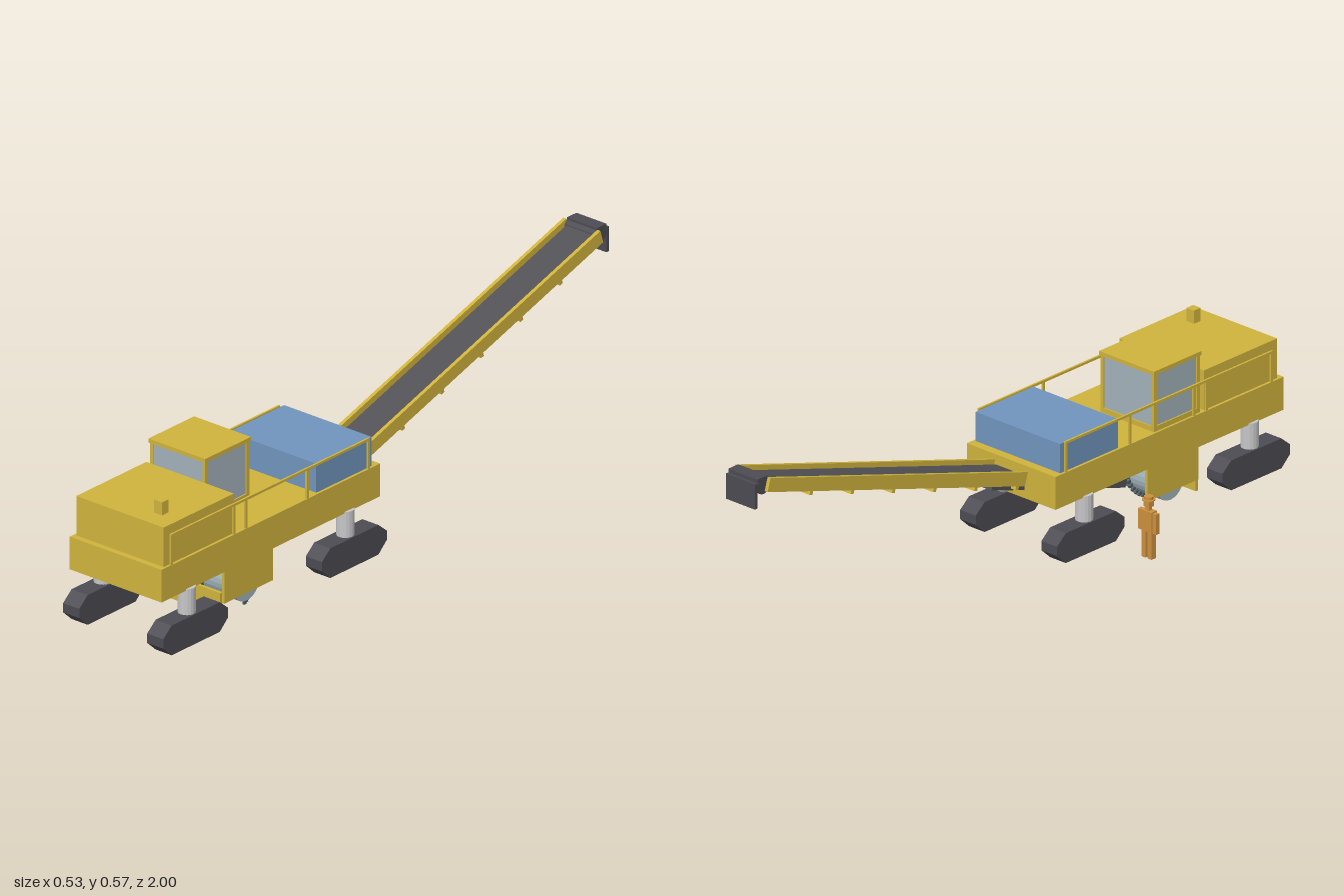
import * as THREE from 'three';

const mat = (name, color) => {
  const m = new THREE.MeshStandardMaterial({ color });
  m.name = name;
  m.flatShading = true;
  return m;
};

export function createModel() {
  const yellow = mat('machine yellow', 0xcfb33c);
  const track = mat('track grey', 0x4c4b52);
  const belt = mat('belt grey', 0x525156);
  const steel = mat('light steel', 0xc6c6c8);
  const glass = mat('glass grey', 0xa2b1b9);
  const drumGrey = mat('drum grey', 0xa0b2ba);
  const tooth = mat('tooth grey', 0x4a585e);
  const blue = mat('tank blue', 0x7094bd);
  const orange = mat('figure orange', 0xcc903f);

  const model = new THREE.Group();
  model.name = 'surfaceMiner';
  const CX = 0.083; // centre line of the machine

  const add = (name, geo, m, parent = model) => {
    const mesh = new THREE.Mesh(geo, m);
    mesh.name = name;
    parent.add(mesh);
    return mesh;
  };
  // box from its minimum and maximum on each axis
  const box = (name, m, x0, x1, y0, y1, z0, z1, parent) => {
    const b = add(name, new THREE.BoxGeometry(x1 - x0, y1 - y0, z1 - z0), m, parent);
    b.position.set((x0 + x1) / 2, (y0 + y1) / 2, (z0 + z1) / 2);
    return b;
  };
  const group = (name) => {
    const g = new THREE.Group();
    g.name = name;
    model.add(g);
    return g;
  };

  // chassis, engine hood, exhaust and tank
  box('chassis', yellow, -0.082, 0.248, 0.165, 0.263, 0.08, 0.99);
  box('engineHood', yellow, -0.074, 0.24, 0.263, 0.381, 0.68, 0.972);
  box('exhaust', yellow, 0.157, 0.185, 0.381, 0.42, 0.888, 0.915);
  box('tank', blue, -0.074, 0.24, 0.263, 0.35, 0.107, 0.337);

  // cabin: glass body, sills, corner posts and roof
  const cabin = group('cabin');
  box('cabinGlass', glass, -0.071, 0.119, 0.263, 0.435, 0.484, 0.66, cabin);
  box('cabinSill', yellow, -0.075, 0.123, 0.263, 0.278, 0.48, 0.664, cabin);
  box('cabinRoof', yellow, -0.078, 0.126, 0.433, 0.445, 0.477, 0.667, cabin);
  for (const x of [-0.075, 0.113])
    for (const z of [0.48, 0.652])
      box('cabinPost', yellow, x, x + 0.01, 0.263, 0.435, z, z + 0.012, cabin);

  // hand rails on both sides
  const rails = group('handRails');
  for (const x of [-0.081, 0.241]) {
    box('railBar', yellow, x, x + 0.006, 0.347, 0.354, 0.122, 0.948, rails);
    for (const z of [0.125, 0.38, 0.635, 0.685, 0.945])
      box('railPost', yellow, x, x + 0.006, 0.262, 0.35, z - 0.004, z + 0.004, rails);
  }

  // four crawler tracks on lifting columns
  const profile = [[-0.135, 0.035], [-0.1, 0.003], [0.1, 0.003], [0.135, 0.035],
    [0.135, 0.063], [0.1, 0.092], [-0.1, 0.092], [-0.135, 0.063]];
  const trackShape = new THREE.Shape(profile.map(([a, b]) => new THREE.Vector2(a, b)));
  const trackGeo = new THREE.ExtrudeGeometry(trackShape, { depth: 0.058, bevelEnabled: false });
  trackGeo.translate(0, 0, -0.029);
  trackGeo.rotateY(Math.PI / 2);
  const legGeo = new THREE.CylinderGeometry(0.025, 0.025, 0.085, 16);
  for (const side of [-1, 1])
    for (const z of [0.205, 0.865]) {
      const x = CX + side * 0.151;
      add('crawlerTrack', trackGeo, track).position.set(x, 0, z);
      add('liftingColumn', legGeo, steel).position.set(x, 0.127, z + 0.004);
    }

  // cutting drum with two spirals of teeth
  const DY = 0.07, DZ = 0.585;
  const drum = group('cuttingDrum');
  const drumGeo = new THREE.CylinderGeometry(0.054, 0.054, 0.243, 24);
  drumGeo.rotateZ(Math.PI / 2);
  add('drum', drumGeo, drumGrey, drum).position.set(CX, DY, DZ);
  const toothGeo = new THREE.BoxGeometry(0.007, 0.016, 0.008);
  const spiral = (x0, pitch, from, to) => {
    for (let q = from; q <= to; q += 0.125) {
      const a = q * Math.PI / 2; // zero is straight up, turning to the front
      const t = add('tooth', toothGeo, tooth, drum);
      t.position.set(x0 + pitch * q, DY + 0.059 * Math.cos(a), DZ + 0.059 * Math.sin(a));
      t.rotation.x = a;
    }
  };
  spiral(-0.033, 0.033, 0, 3.5);
  spiral(0.13, -0.033, -2, 1.25);

  // drum housing
  const housing = group('drumHousing');
  for (const x of [-0.046, 0.205])
    box('housingSide', yellow, x, x + 0.008, 0.045, 0.168, 0.485, 0.688, housing);
  box('moldboard', yellow, -0.038, 0.205, 0.008, 0.077, 0.686, 0.696, housing);
  box('housingCrossbar', yellow, -0.046, 0.213, 0.152, 0.168, 0.685, 0.702, housing);

  // pickup belt that rises from the drum through the chassis
  const feed = add('pickupBelt', new THREE.BoxGeometry(0.098, 0.024, 0.56), belt);
  feed.position.set(CX, 0.158, 0.22);
  feed.rotation.x = 0.302;

  // discharge conveyor, built along -z and then tilted up
  const boom = group('dischargeConveyor');
  boom.position.set(CX, 0.23, 0.07);
  boom.rotation.x = 0.302;
  const L = 1.075;
  for (const s of [-1, 1]) {
    const x = s * 0.061;
    box('boomBeam', yellow, x - 0.0055, x + 0.0055, -0.02, 0.02, -L, 0, boom);
  }
  box('boomBelt', belt, -0.049, 0.049, -0.008, 0.008, -L - 0.01, 0, boom);
  for (let i = 0; i < 6; i++) {
    const z = -0.03 - i * 0.172;
    box('boomStrut', yellow, -0.066, 0.066, -0.031, -0.02, z - 0.006, z + 0.006, boom);
  }
  const rollerGeo = new THREE.CylinderGeometry(0.025, 0.025, 0.108, 16);
  rollerGeo.rotateZ(Math.PI / 2);
  add('headRoller', rollerGeo, track).position.set(CX, 0.547, -0.965);

  // discharge hood: top plate and hanging flap
  box('dischargeTop', track, 0.029, 0.137, 0.562, 0.573, -0.99, -0.95);
  box('dischargeFlap', track, 0.029, 0.137, 0.487, 0.562, -1, -0.99);

  // standing worker
  const worker = group('worker');
  const MX = -0.23, MZ = 0.293;
  const body = (name, x, hw, y0, y1, hd) =>
    box(name, orange, MX + x - hw, MX + x + hw, y0, y1, MZ - hd, MZ + hd, worker);
  for (const s of [-1, 1]) {
    body('leg', s * 0.0115, 0.0075, 0, 0.081, 0.009);
    body('arm', s * 0.0275, 0.0065, 0.078, 0.138, 0.007);
  }
  body('torso', 0, 0.02, 0.08, 0.141, 0.011);
  body('neck', 0, 0.006, 0.14, 0.153, 0.006);
  body('head', 0, 0.01, 0.152, 0.173, 0.01);
  const hat = (name, r, y, h) =>
    add(name, new THREE.CylinderGeometry(r, r, h, 12), orange, worker).position.set(MX, y, MZ);
  hat('hatBrim', 0.019, 0.173, 0.003);
  hat('hatCrown', 0.013, 0.178, 0.009);

  return model;
}
